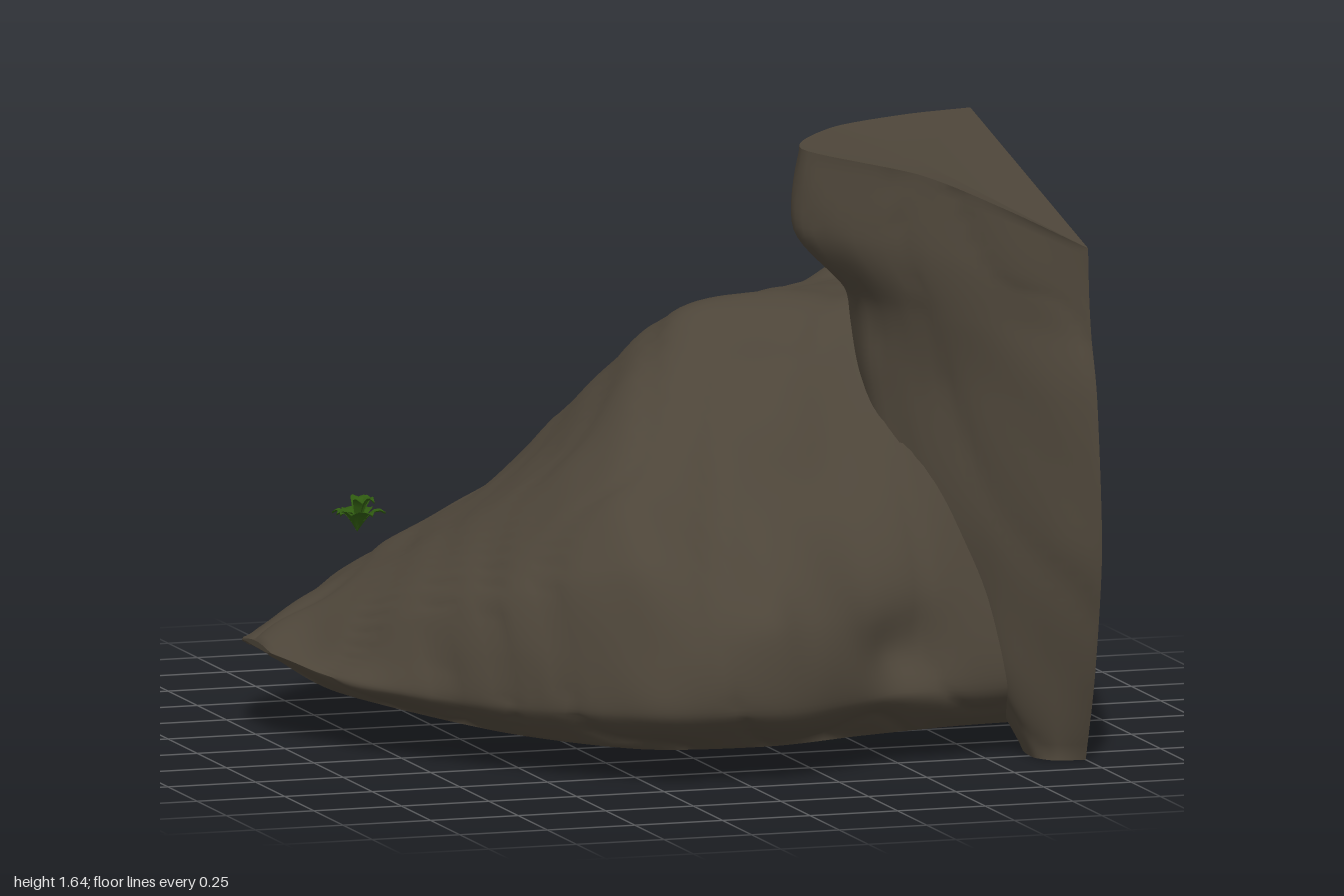
import * as THREE from 'three';

// Craggy surface rule: layered waves, a few sharp creases, and local hollows
const HOLLOWS = [
  { at: new THREE.Vector3(0.5, 0.33, 0.82), radius: 0.12, depth: 0.07 },
  { at: new THREE.Vector3(0.25, 0.7, 0.5), radius: 0.12, depth: 0.04 },
];
function crag(p) {
  const a = Math.sin(p.x * 7 + 2 * Math.sin(p.z * 4 + p.y * 3)) * Math.sin(p.z * 6 - p.y * 5 + 1);
  const b = Math.abs(Math.sin(p.x * 6 + p.z * 9 + p.y * 5 + Math.sin(p.x * 11)));
  const c = Math.sin(p.x * 19 + p.y * 13) * Math.sin(p.z * 17 + p.y * 9);
  let d = 0.008 * a - 0.012 * Math.pow(1 - b, 3) + 0.003 * c;
  for (const h of HOLLOWS) d -= h.depth * Math.exp(-p.distanceToSquared(h.at) / h.radius ** 2);
  return d;
}

// Smooth skin through open cross-sections, closed by a flat strip and flat end caps
function loftRock(sections, rows, cols, amount) {
  const profiles = sections.map((s) => new THREE.CatmullRomCurve3(s, false, 'catmullrom', 0.4));
  const grid = [];
  for (let j = 0; j <= cols; j++) {
    const line = profiles.map((c) => c.getPoint(j / cols));
    const curve = new THREE.CatmullRomCurve3(line, false, 'catmullrom', 0.4);
    for (let i = 0; i <= rows; i++) (grid[i] ||= []).push(curve.getPoint(i / rows));
  }
  const points = grid.flat();
  const index = [];
  const w = cols + 1;
  for (let i = 0; i < rows; i++) {
    for (let j = 0; j < cols; j++) {
      const a = i * w + j, b = a + w;
      index.push(a, b, a + 1, b, b + 1, a + 1);
    }
  }
  const skin = new THREE.BufferGeometry().setFromPoints(points);
  skin.setIndex(index);
  skin.computeVertexNormals();

  // Push the skin in and out, leaving the cut borders flat
  const n = new THREE.Vector3();
  for (let i = 1; i < rows; i++) {
    for (let j = 1; j < cols; j++) {
      const k = i * w + j;
      n.fromBufferAttribute(skin.attributes.normal, k);
      points[k].addScaledVector(n, crag(points[k]) * amount);
    }
  }

  // Closing strip and caps get their own vertices so their edges stay sharp
  const all = points.slice();
  const strip = all.length;
  for (let i = 0; i <= rows; i++) all.push(grid[i][cols].clone(), grid[i][0].clone());
  for (let i = 0; i < rows; i++) {
    const a = strip + i * 2;
    index.push(a, a + 2, a + 1, a + 2, a + 3, a + 1);
  }
  for (const end of [0, rows]) {
    const start = all.length;
    const center = new THREE.Vector3();
    grid[end].forEach((p) => center.addScaledVector(p, 1 / w));
    all.push(center, ...grid[end].map((p) => p.clone()));
    for (let j = 0; j < w; j++) {
      const a = start + 1 + j, b = start + 1 + ((j + 1) % w);
      if (end === 0) index.push(start, a, b);
      else index.push(start, b, a);
    }
  }
  const geo = new THREE.BufferGeometry().setFromPoints(all);
  geo.setIndex(index);
  geo.computeVertexNormals();
  return geo;
}

// Boulder section at x: (z, y) pairs from the front rim over the ridge to the back wall.
// The back rim and the bowed underside follow by rule.
function boulderSection(x, zy) {
  const loop = [];
  const add = (z, y) => loop.push(new THREE.Vector3(x, y, z));
  const under = (z) => add(z, 0.075 + 0.1 * Math.min(0, x) ** 2 + 0.06 * (z - 0.4) ** 2);
  const front = zy[0] - 0.14;
  under(front);
  for (let i = 0; i < zy.length; i += 2) add(zy[i], zy[i + 1]);
  const wall = loop[loop.length - 1];
  const back = Math.max(-0.985, wall.z - 0.035);
  add(back, Math.min(0.32, wall.y * 0.78));
  under(THREE.MathUtils.lerp(back, front, 0.08));
  under(THREE.MathUtils.lerp(back, front, 0.45));
  return loop;
}

// Pillar section at height y: front z, five (x, z) pairs, back z; both ends lie on x = 1.
// The upper sections tilt down toward the front corner.
function pillarSection(y, [zFront, ...rest]) {
  const xz = [1, zFront, ...rest.slice(0, -1), 1, rest[rest.length - 1]];
  const tilt = 0.41 * Math.max(0, (y - 1.1) / 0.54);
  const loop = [];
  for (let i = 0; i < xz.length; i += 2) {
    const x = xz[i], z = xz[i + 1];
    const drop = tilt * Math.max(0, x - 0.45) * Math.max(0, z + 0.13);
    loop.push(new THREE.Vector3(x, y - drop, z));
  }
  return loop;
}

export function createModel() {
  const model = new THREE.Group();
  const stone = new THREE.MeshStandardMaterial({ color: 0x4d4539 });
  stone.name = 'stone';
  const leafGreen = new THREE.MeshStandardMaterial({ color: 0x2f5a10, side: THREE.DoubleSide });
  leafGreen.name = 'leaf green';

  // Boulder: a low arched nose, then sections rising to the flat cut at x = 1
  const nose = [];
  for (let k = 0; k < 8; k++) nose.push(0.17 - 0.111 * k, 0.2 + 0.14 * Math.sin(0.41 * k));
  const boulderSections = [
    boulderSection(-0.86, nose),
    boulderSection(-0.55, [.64, .19, .6, .34, .48, .47, .25, .53, -.1, .53, -.45, .47, -.74, .38, -.87, .29]),
    boulderSection(-0.25, [.95, .2, .92, .36, .8, .59, .5, .75, .1, .78, -.4, .67, -.78, .48, -.93, .35]),
    boulderSection(0.1, [.99, .2, .96, .42, .8, .57, .35, .92, .03, 1.13, -.35, .98, -.75, .69, -.94, .48]),
    boulderSection(0.4, [.87, .2, .82, .42, .5, .82, .25, 1.11, -.02, 1.18, -.4, 1.08, -.8, .81, -.95, .6]),
    boulderSection(0.7, [.78, .2, .72, .5, .5, .95, .1, 1.18, -.3, 1.15, -.65, 1.1, -.86, .94, -.96, .73]),
    boulderSection(1, [.75, .2, .68, .58, .5, 1, 0, 1.17, -.32, 1.15, -.68, 1.27, -.89, 1.11, -.97, .9]),
  ];
  // Pointed outer tip
  boulderSections.unshift(boulderSections[0].map((p) =>
    new THREE.Vector3(-0.995, 0.25 + (p.y - 0.25) * 0.1, -0.27 + (p.z + 0.27) * 0.3)));
  const boulder = new THREE.Mesh(loftRock(boulderSections, 84, 120, 1), stone);
  boulder.name = 'boulder';
  model.add(boulder);

  // Pillar: outlines from the foot to the top
  const pillarSections = [
    pillarSection(0.005, [.86, .92, .85, .88, .79, .88, .7, .9, .62, .95, .58, .57]),
    pillarSection(0.25, [.94, .89, .86, .79, .75, .78, .55, .83, .4, .9, .3, .2]),
    pillarSection(0.6, [1, .89, .9, .76, .74, .59, .5, .65, .2, .8, 0, -.1]),
    pillarSection(1, [.96, .88, .85, .7, .66, .52, .42, .6, .08, .8, -.1, -.23]),
    pillarSection(1.22, [.91, .85, .8, .66, .65, .5, .4, .6, .05, .8, -.1, -.24]),
    pillarSection(1.41, [.89, .81, .78, .59, .61, .34, .38, .52, .02, .78, -.13, -.215]),
    pillarSection(1.64, [.88, .8, .76, .61, .61, .35, .38, .55, .03, .8, -.1, -.13]),
  ];
  const pillar = new THREE.Mesh(loftRock(pillarSections, 60, 56, 0.6), stone);
  pillar.name = 'pillar';
  model.add(pillar);

  // Small plant: a rosette of bent, pointed leaves
  const plant = new THREE.Group();
  plant.name = 'plant';
  for (let i = 0; i < 12; i++) {
    const inner = i % 3 === 0;
    const length = 0.075 + 0.014 * Math.sin(i * 2.3);
    const lift = inner ? 0.09 : 0.055;
    const leaf = new THREE.PlaneGeometry(1, 1, 2, 5);
    const p = leaf.attributes.position;
    for (let k = 0; k < p.count; k++) {
      const t = p.getY(k) + 0.5;
      const side = p.getX(k);
      const width = 0.008 + 0.034 * Math.sin(Math.PI * t ** 1.4);
      const rise = lift * Math.sin(t * 2.1) + Math.abs(side) * 0.012;
      p.setXYZ(k, side * width * (t > 0.99 ? 0 : 1), rise, t * length * (inner ? 0.6 : 1));
    }
    leaf.computeVertexNormals();
    const mesh = new THREE.Mesh(leaf, leafGreen);
    mesh.name = 'leaf';
    mesh.rotation.y = i * 2.4;
    plant.add(mesh);
  }
  plant.position.set(-0.765, 0.575, -0.085);
  model.add(plant);

  return model;
}
